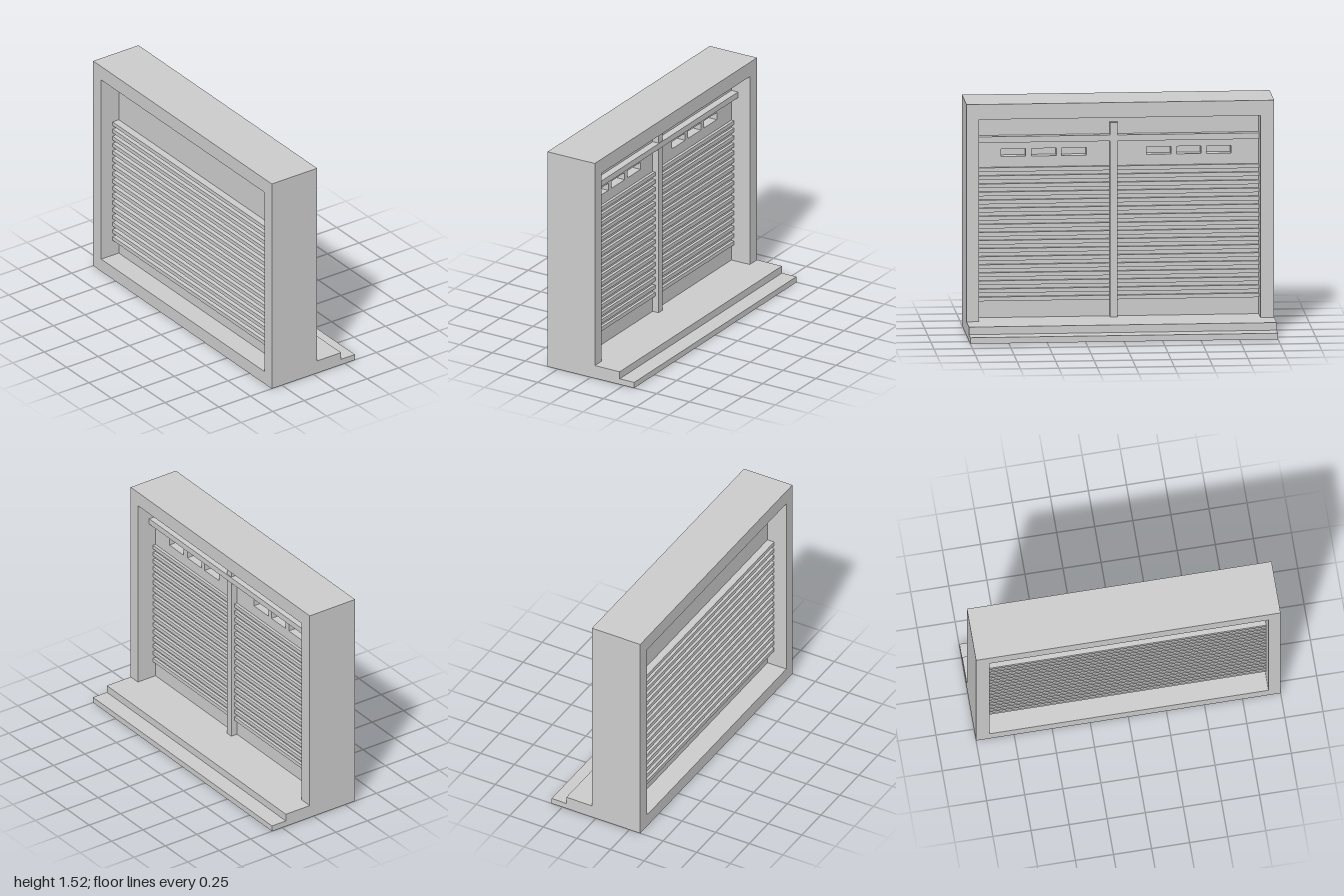
import * as THREE from 'three';

export function createModel() {
  const model = new THREE.Group();
  const material = new THREE.MeshStandardMaterial({ color: 0xcccccc, flatShading: true });

  const add = (name, geometry) => {
    const mesh = new THREE.Mesh(geometry, material);
    mesh.name = name;
    model.add(mesh);
    return mesh;
  };

  // Box given by its lower and upper limits on each axis
  const box = (name, [x0, x1], [y0, y1], [z0, z1]) => {
    const mesh = add(name, new THREE.BoxGeometry(x1 - x0, y1 - y0, z1 - z0));
    mesh.position.set((x0 + x1) / 2, (y0 + y1) / 2, (z0 + z1) / 2);
  };

  const trace = (target, x0, x1, y0, y1) => {
    target.moveTo(x0, y0);
    target.lineTo(x1, y0);
    target.lineTo(x1, y1);
    target.lineTo(x0, y1);
    target.closePath();
    return target;
  };

  // Rectangular plate with rectangular openings
  const plate = (name, outer, openings, z0, z1) => {
    const shape = trace(new THREE.Shape(), ...outer);
    openings.forEach((o) => shape.holes.push(trace(new THREE.Path(), ...o)));
    const geometry = new THREE.ExtrudeGeometry(shape, { depth: z1 - z0, bevelEnabled: false });
    add(name, geometry.translate(0, 0, z0));
  };

  const inner = [-0.91, 0.92];

  // Deep outer frame
  plate('frame', [-1, 1, 0, 1.52], [[...inner, 0.09, 1.42]], -0.03, 0.33);

  // Two steps behind the frame
  box('upperStep', [-1, 1], [0, 0.09], [-0.22, -0.03]);
  box('lowerStep', [-1, 1], [0, 0.04], [-0.33, -0.22]);

  // Shutter panel: solid front layer, back layer with six recessed slots
  const slots = [0.21, 0.405, 0.605, -0.34, -0.535, -0.73]
    .map((x) => [x, x + 0.16, 1.15, 1.2]);
  box('panelFront', inner, [0.09, 1.42], [0.17, 0.19]);
  plate('panelBack', [...inner, 0.09, 1.42], slots, 0.11, 0.17);

  // Horizontal shutter slats
  const count = 17, pitch = 0.0532, height = 0.027;
  for (let i = 0; i < count; i++) {
    const top = 1.08 - i * pitch;
    box('slat', inner, [top - height, top], [0.09, 0.24]);
  }

  // Rear rail and centre post
  box('rearRail', inner, [1.25, 1.29], [0.06, 0.11]);
  box('rearPost', [0.01, 0.06], [0.09, 1.37], [0.065, 0.11]);

  return model;
}
